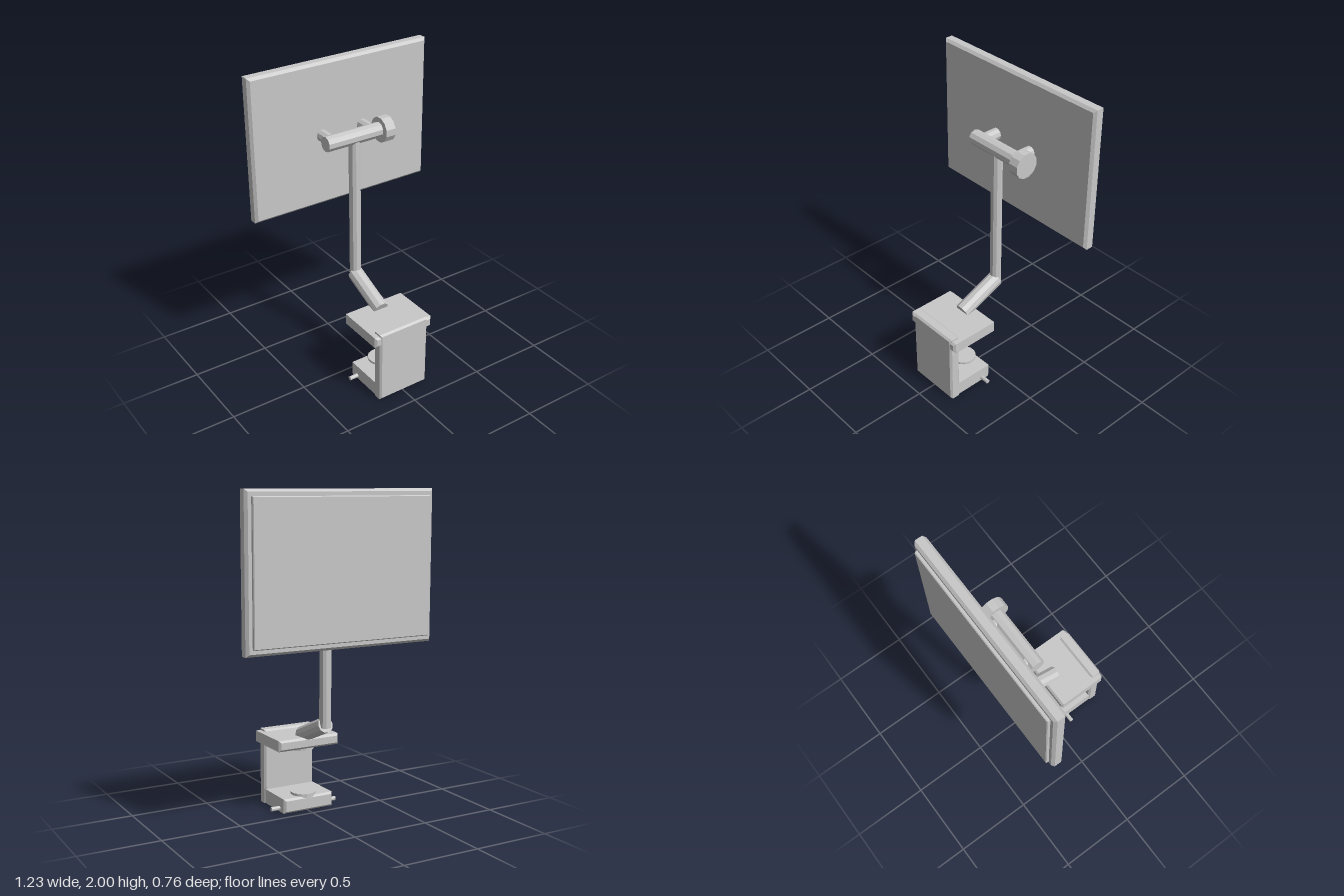
import * as THREE from 'three';

const grey = new THREE.MeshStandardMaterial({ color: 0xc8c8c8, flatShading: true });
grey.name = 'light grey';

export function createModel() {
  const model = new THREE.Group();
  model.name = 'monitorArm';

  function add(name, geometry) {
    const mesh = new THREE.Mesh(geometry, grey);
    mesh.name = name;
    model.add(mesh);
    return mesh;
  }

  // Block spanning the given ranges, chamfered around its front and back faces
  function block(name, [x0, x1], [y0, y1], [z0, z1], chamfer) {
    const shape = new THREE.Shape();
    shape.moveTo(x0, y0).lineTo(x1, y0).lineTo(x1, y1).lineTo(x0, y1).closePath();
    const geometry = new THREE.ExtrudeGeometry(shape, {
      depth: z1 - z0 - 2 * chamfer, bevelEnabled: true, bevelSegments: 1,
      bevelThickness: chamfer, bevelSize: chamfer, bevelOffset: -chamfer,
    });
    geometry.translate(0, 0, z0 + chamfer);
    return add(name, geometry);
  }

  // Faceted rod between two points
  function rod(name, from, to, radius, sides) {
    const a = new THREE.Vector3(...from), b = new THREE.Vector3(...to);
    const geometry = new THREE.CylinderGeometry(radius, radius, a.distanceTo(b), sides);
    geometry.rotateY(Math.PI / sides);
    const mesh = add(name, geometry);
    mesh.position.copy(a).add(b).multiplyScalar(0.5);
    mesh.quaternion.setFromUnitVectors(new THREE.Vector3(0, 1, 0), b.sub(a).normalize());
    return mesh;
  }

  // Desk clamp
  block('clampColumn', [-0.177, 0.177], [0, 0.487], [0.307, 0.38], 0.012);
  block('clampTopPlate', [-0.21, 0.21], [0.405, 0.475], [0.038, 0.376], 0.013);
  block('clampBottomPlate', [-0.172, 0.172], [0.003, 0.095], [0.05, 0.37], 0.012);
  rod('upperPad', [0, 0.385, 0.14], [0, 0.41, 0.14], 0.076, 16);
  rod('lowerPad', [0, 0.085, 0.125], [0, 0.11, 0.125], 0.08, 16);
  rod('clampPin', [-0.23, 0.025, 0.118], [0.23, 0.025, 0.118], 0.014, 8);

  // Arm
  rod('lowerArm', [0, 0.477, 0.13], [0, 0.598, -0.156], 0.05, 10);
  rod('pole', [0, 0.58, -0.152], [0, 1.53, -0.152], 0.036, 10);

  // Hinge with knob
  rod('hingeBar', [-0.2, 1.547, -0.157], [0.19, 1.547, -0.157], 0.048, 10);
  rod('hingeKnob', [0.18, 1.545, -0.155], [0.246, 1.545, -0.155], 0.081, 12);
  for (const side of [-1, 1]) {
    rod(side < 0 ? 'rightMountPost' : 'leftMountPost',
      [side * 0.143, 1.545, -0.16], [side * 0.143, 1.545, -0.29], 0.038, 10);
  }

  // Monitor
  block('monitorBody', [-0.617, 0.617], [1.087, 2], [-0.36, -0.282], 0.016);
  block('screenPanel', [-0.58, 0.58], [1.127, 1.96], [-0.38, -0.352], 0.005);

  return model;
}
